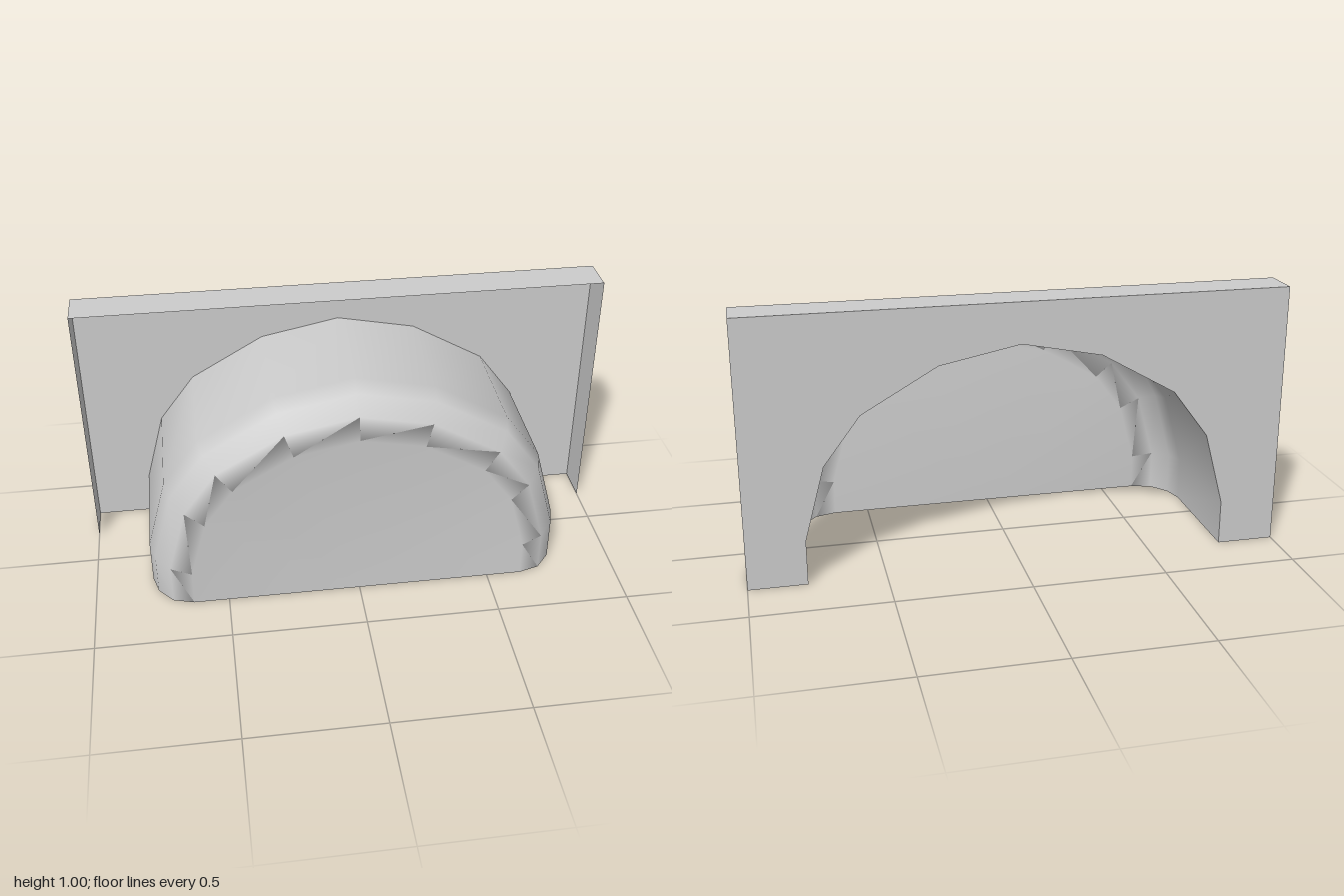
import * as THREE from 'three';

const BACK = -0.3025, RIM = -0.155, HEIGHT = 1;

export function createModel() {
  const model = new THREE.Group();
  model.name = 'archedHood';
  const grey = new THREE.MeshStandardMaterial({ color: 0xcccccc, side: THREE.DoubleSide });
  grey.name = 'light grey';

  const add = (name, geometry) => {
    const mesh = new THREE.Mesh(geometry, grey);
    mesh.name = name;
    model.add(mesh);
    return mesh;
  };

  // Arch outline, mirrored about x = 0, running from +x foot to -x foot
  const half = [[0.785, 0], [0.785, 0.17], [0.71, 0.447], [0.575, 0.627], [0.297, 0.787]];
  const arch = [...half, [0, 0.847], ...half.map(([x, y]) => [-x, y]).reverse()];

  // Back panel with the arch cut out of its lower edge
  const panel = new THREE.Shape();
  panel.moveTo(1, 0);
  panel.lineTo(1, HEIGHT);
  panel.lineTo(-1, HEIGHT);
  panel.lineTo(-1, 0);
  [...arch].reverse().forEach(([x, y]) => panel.lineTo(x, y));
  add('backPanel', new THREE.ShapeGeometry(panel).translate(0, 0, BACK));

  // Thin flanges around the panel, open at the front and bottom
  const depth = RIM - BACK, middle = (RIM + BACK) / 2;
  add('topFlange', new THREE.PlaneGeometry(2, depth).rotateX(-Math.PI / 2).translate(0, HEIGHT, middle));
  for (const side of [1, -1]) {
    add(side > 0 ? 'leftFlange' : 'rightFlange',
      new THREE.PlaneGeometry(depth, HEIGHT).rotateY(side * Math.PI / 2).translate(side, HEIGHT / 2, middle));
  }

  // Hollow hood: arch sections [z, scale] with a rounded front edge
  const sections = [[BACK, 1], [0.143, 1], [0.217, 0.974], [0.28, 0.905], [0.3025, 0.805]];
  const positions = [], index = [], n = arch.length;
  for (const [z, s] of sections) {
    for (const [x, y] of arch) positions.push(x * s, y * s, z);
  }
  for (let r = 0; r < sections.length - 1; r++) {
    for (let i = 0; i < n - 1; i++) {
      const a = r * n + i, b = a + 1, c = a + n, d = c + 1;
      index.push(a, b, d, a, d, c);
    }
  }
  // Front face fans out from the middle of its lower edge
  const centre = positions.length / 3, first = (sections.length - 1) * n;
  positions.push(0, 0, 0.3025);
  for (let i = 0; i < n - 1; i++) index.push(centre, first + i, first + i + 1);

  // Wind the side strips outward
  for (let k = 0; k < (sections.length - 1) * (n - 1) * 6; k += 3) {
    [index[k + 1], index[k + 2]] = [index[k + 2], index[k + 1]];
  }
  const hood = new THREE.BufferGeometry();
  hood.setAttribute('position', new THREE.Float32BufferAttribute(positions, 3));
  hood.setIndex(index);
  hood.computeVertexNormals();
  add('hood', hood);

  return model;
}
